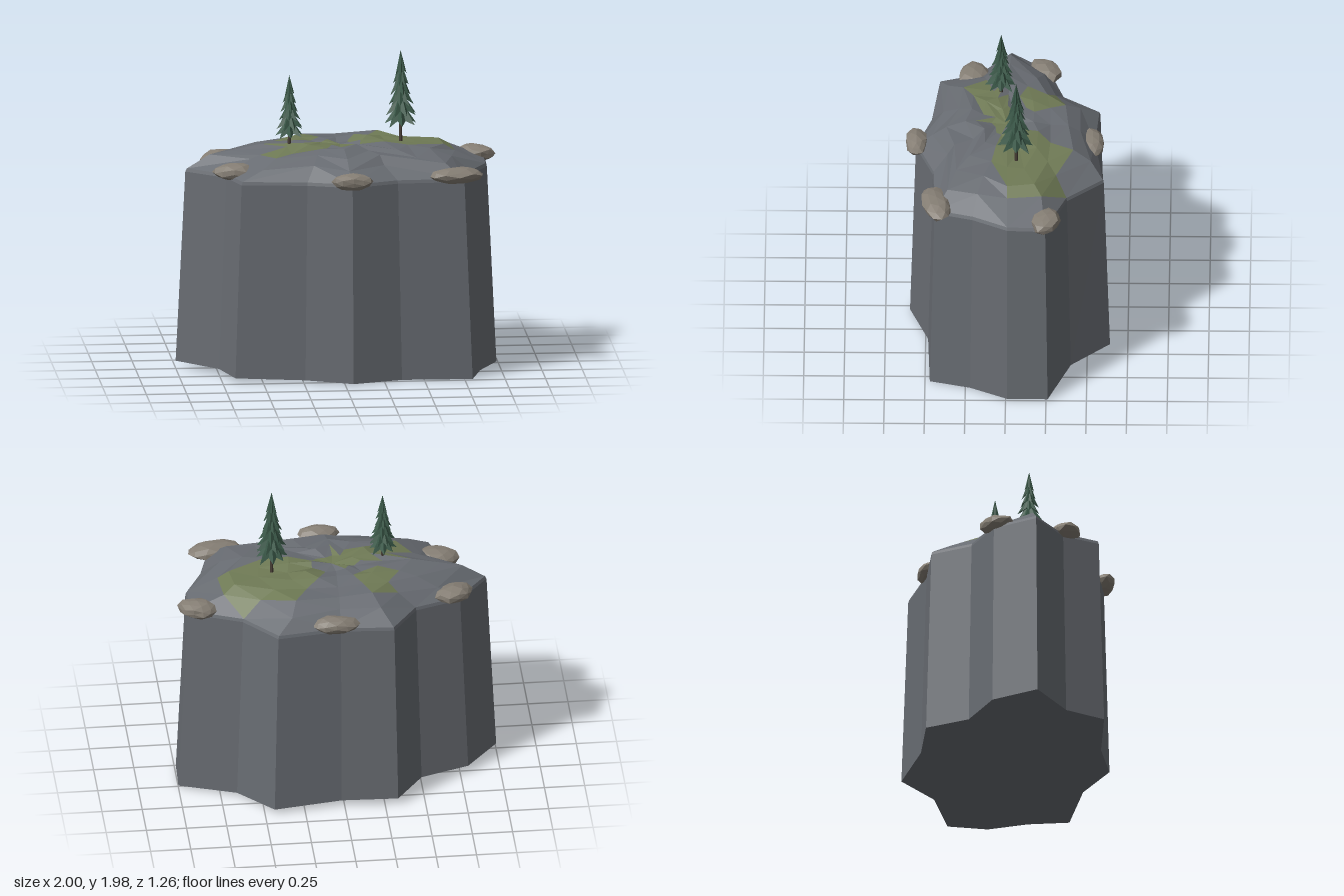
import * as THREE from 'three';

const mat = (color) => new THREE.MeshStandardMaterial({ color, flatShading: true });
const stone = mat(0x686c72), grass = mat(0x6f7a55), rock = mat(0x857e74);
const needles = mat(0x3a5848), bark = mat(0x463c34);

// Repeatable noise in -1..1, based on three values
const noise = (a, b = 0, c = 0) => {
  const s = Math.sin(a * 127.1 + b * 311.7 + c * 74.7) * 43758.5453;
  return (s - Math.floor(s)) * 2 - 1;
};

// Plan of the cliff foot, [x, z], from the left tip round the back
const outline = [
  [-1, -0.02], [-0.8, -0.27], [-0.5, -0.37], [-0.33, -0.61], [0.02, -0.585], [0.44, -0.64],
  [0.65, -0.4], [1, -0.26], [0.99, -0.01], [0.87, 0.22], [0.8, 0.47], [0.36, 0.485],
  [0.05, 0.6], [-0.24, 0.5], [-0.67, 0.45], [-0.75, 0.2],
];
const N = outline.length;
const ring = (scale, height) =>
  outline.map(([x, z], i) => new THREE.Vector3(x * scale, height(x, z, i), z * scale));

function meshOf(name, triangles, material) {
  const g = new THREE.BufferGeometry().setFromPoints(triangles.flat());
  g.computeVertexNormals();
  const m = new THREE.Mesh(g, material);
  m.name = name;
  return m;
}

// Outward triangles between a lower/outer ring and an upper/inner ring
function band(a, b) {
  const out = [];
  for (let i = 0; i < N; i++) {
    const j = (i + 1) % N;
    if (i % 2) out.push([a[j], a[i], b[i]], [a[j], b[i], b[j]]);
    else out.push([a[j], a[i], b[j]], [a[i], b[i], b[j]]);
  }
  return out;
}

// Grass areas on the plateau: [x, z, radius x, radius z]
const meadows = [
  [0.42, -0.13, 0.31, 0.22], [-0.25, -0.2, 0.14, 0.12],
  [-0.3, 0.12, 0.13, 0.1], [-0.05, 0.04, 0.16, 0.09],
];
const isGrass = (t) => {
  const x = (t[0].x + t[1].x + t[2].x) / 3, z = (t[0].z + t[1].z + t[2].z) / 3;
  return meadows.some(([mx, mz, rx, rz]) => ((x - mx) / rx) ** 2 + ((z - mz) / rz) ** 2 < 1);
};

function createCliff() {
  const g = new THREE.Group();
  g.name = 'cliff';

  // Walls and slightly tilted underside
  const foot = ring(1, (x, z) => Math.max(0, 0.025 - 0.02 * x - 0.025 * z));
  const top = ring(0.94, () => 1.24);
  const centre = new THREE.Vector3(0, 0.025, 0);
  const walls = band(foot, top);
  for (let i = 0; i < N; i++) walls.push([centre, foot[i], foot[(i + 1) % N]]);
  g.add(meshOf('cliffWalls', walls, stone));

  // Faceted, gently domed plateau
  const levels = [[0.93, 1.26], [0.78, 1.335], [0.62, 1.385], [0.46, 1.405], [0.3, 1.415], [0.15, 1.41]];
  const rings = [top, ...levels.map(([s, y], k) => {
    const r = ring(s, (x, z, i) => y + (k ? 0.017 * noise(i, k) : 0));
    if (k) r.forEach((p, i) => {
      p.x *= 1 + 0.09 * noise(i, k, 1);
      p.z *= 1 + 0.09 * noise(i, k, 2);
    });
    return r;
  })];
  const faces = [];
  for (let k = 0; k < rings.length - 1; k++) faces.push(...band(rings[k], rings[k + 1]));
  const last = rings[rings.length - 1], peak = new THREE.Vector3(0.02, 1.4, 0);
  for (let i = 0; i < N; i++) faces.push([last[(i + 1) % N], last[i], peak]);
  g.add(meshOf('plateau', faces.filter((t) => !isGrass(t)), stone));
  g.add(meshOf('grassPatches', faces.filter(isGrass), grass));
  return g;
}

// Flat, irregular boulder
function createBoulder(seed, x, z, width, depth, turn) {
  const geo = new THREE.IcosahedronGeometry(0.5, 1);
  const p = geo.attributes.position, v = new THREE.Vector3();
  for (let i = 0; i < p.count; i++) {
    v.fromBufferAttribute(p, i);
    const [a, b, c] = v.toArray().map((n) => Math.round(n * 100) / 100 + 0);
    v.multiplyScalar(1 + 0.1 * noise(a + seed, b, c));
    p.setXYZ(i, v.x, v.y, v.z);
  }
  geo.computeVertexNormals();
  const m = new THREE.Mesh(geo, rock);
  m.name = 'boulder';
  m.scale.set(width, 0.105, depth);
  m.position.set(x, 1.28, z);
  m.rotation.y = turn;
  return m;
}

// Conifer with stacked, jagged tiers of branches
function createTree(x, y, z, height, radius) {
  const g = new THREE.Group();
  g.name = 'tree';
  g.position.set(x, y, z);
  const trunk = new THREE.Mesh(new THREE.CylinderGeometry(0.006, 0.012, height * 0.6, 6), bark);
  trunk.name = 'trunk';
  trunk.position.y = height * 0.3 - 0.02;
  g.add(trunk);

  const tiers = 6, base = height * 0.17;
  for (let k = 0; k < tiers; k++) {
    const t = k / tiers;
    const r = radius * (1 - 0.8 * t), h = height * 0.27;
    const geo = new THREE.ConeGeometry(r, h, 16, 1);
    const p = geo.attributes.position;
    for (let i = 0; i < p.count; i++) {
      if (p.getY(i) > 0) continue;
      const px = p.getX(i), pz = p.getZ(i);
      if (Math.hypot(px, pz) < 1e-6) { p.setY(i, -h * 0.15); continue; }
      // Alternate long drooping tips with short raised notches
      const step = (Math.round(Math.atan2(pz, px) / (Math.PI / 8)) + 16) % 16;
      const s = step % 2 ? 0.58 : 0.98 + 0.12 * noise(step, k);
      p.setXYZ(i, px * s, -h * (step % 2 ? 0.3 : 0.5 + 0.06 * noise(k, step)), pz * s);
    }
    geo.computeVertexNormals();
    const tier = new THREE.Mesh(geo, needles);
    tier.name = 'branchTier';
    tier.position.y = base + (height - base - h) * (k / (tiers - 1)) + h / 2;
    tier.rotation.y = k * 1.1;
    g.add(tier);
  }
  return g;
}

export function createModel() {
  const model = new THREE.Group();
  model.name = 'rockyPlateau';
  model.add(createCliff());

  // Boulders along the rim: x, z, width, depth, turn
  [
    [-0.65, 0.21, 0.28, 0.19, -0.15], [0.05, 0.56, 0.26, 0.14, 0],
    [0.7, 0.43, 0.34, 0.18, 0.2], [0.88, -0.25, 0.24, 0.17, -0.4],
    [0.05, -0.53, 0.28, 0.15, 0], [-0.71, -0.23, 0.25, 0.18, 0.4],
  ].forEach((b, i) => model.add(createBoulder(i + 1, ...b)));

  model.add(createTree(0.4, 1.41, -0.06, 0.565, 0.11));
  model.add(createTree(-0.3, 1.385, 0.04, 0.465, 0.095));
  return model;
}
